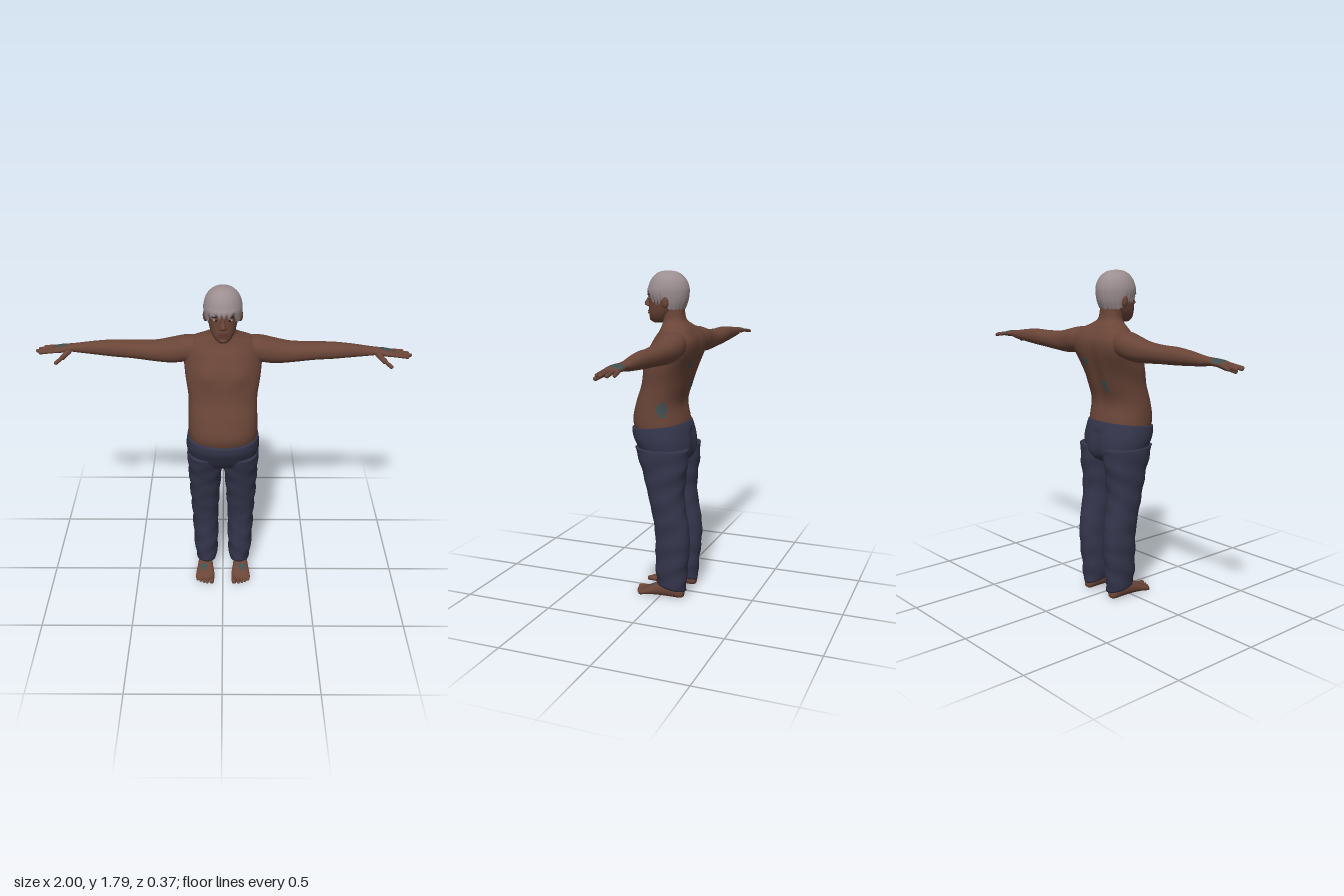
import * as THREE from 'three';

const mat = (name, color, side = THREE.FrontSide) =>
  Object.assign(new THREE.MeshStandardMaterial({ color, side }), { name });

// Which coordinates the ring extents (u, v) and the ring position t map to.
const AXES = {
  y: (u, v, t) => [v, t, u],
  x: (u, v, t) => [t, u, v],
  z: (u, v, t) => [u, v, t],
};

// Smooth skin over rings [t, u0, u1, v0, v1] with t increasing.
// warp moves each point; paint picks faces for a second material.
function loft(axis, rings, { n = 32, steps = 4, p = 2.2, warp, paint, open = false } = {}) {
  const rows = [];
  const at = (i) => rings[Math.min(Math.max(i, 0), rings.length - 1)];
  for (let i = 0; i < rings.length - 1; i++) {
    for (let s = 0; s < steps; s++) {
      const t = s / steps;
      rows.push(rings[0].map((_, k) => {
        const [a, b, c, d] = [at(i - 1)[k], at(i)[k], at(i + 1)[k], at(i + 2)[k]];
        return b + 0.5 * t * (c - a + t * (2 * a - 5 * b + 4 * c - d + t * (3 * (b - c) + d - a)));
      }));
    }
  }
  rows.push(rings[rings.length - 1]);
  const pos = [], plain = [], painted = [];
  const add = (u, v, t) => {
    const q = new THREE.Vector3(...AXES[axis](u, v, t));
    if (warp) warp(q);
    pos.push(q.x, q.y, q.z);
  };
  const bend = (c) => Math.sign(c) * Math.abs(c) ** (2 / p);
  for (const [t, u0, u1, v0, v1] of rows) {
    for (let j = 0; j < n; j++) {
      const a = (j / n) * Math.PI * 2;
      add((u0 + u1) / 2 + bend(Math.cos(a)) * (u1 - u0) / 2,
        (v0 + v1) / 2 + bend(Math.sin(a)) * (v1 - v0) / 2, t);
    }
  }
  for (let i = 0; i < rows.length - 1; i++) {
    for (let j = 0; j < n; j++) {
      const a = i * n + j, b = i * n + (j + 1) % n, c = a + n, d = b + n;
      const mid = [0, 1, 2].map((k) => (pos[a * 3 + k] + pos[d * 3 + k]) / 2);
      (paint && paint(...mid) ? painted : plain).push(a, b, d, a, d, c);
    }
  }
  if (!open) {
    const last = (rows.length - 1) * n, centre = rows.length * n;
    for (const [t, u0, u1, v0, v1] of [rows[0], rows[rows.length - 1]]) add((u0 + u1) / 2, (v0 + v1) / 2, t);
    for (let j = 0; j < n; j++) {
      const k = (j + 1) % n;
      plain.push(centre, k, j, centre + 1, last + j, last + k);
    }
  }
  const g = new THREE.BufferGeometry();
  g.setAttribute('position', new THREE.Float32BufferAttribute(pos, 3));
  g.setIndex([...plain, ...painted]);
  if (paint) {
    g.addGroup(0, plain.length, 0);
    g.addGroup(plain.length, painted.length, 1);
  }
  g.computeVertexNormals();
  return g;
}

// Mirror to -x, turning the faces and optionally shifting points.
function mirrored(geo, shift) {
  const g = geo.clone(), P = g.attributes.position, I = g.index;
  for (let i = 0; i < P.count; i++) {
    const x = P.getX(i);
    if (shift) P.setZ(i, P.getZ(i) + shift(x));
    P.setX(i, -x);
  }
  for (let i = 0; i < I.count; i += 3) {
    const a = I.getX(i);
    I.setX(i, I.getX(i + 1));
    I.setX(i + 1, a);
  }
  g.computeVertexNormals();
  return g;
}

const ball = (x, y, z, sx, sy, sz) => new THREE.SphereGeometry(1, 20, 14).scale(sx, sy, sz).translate(x, y, z);

// Rounded rod between two points, for fingers and toes.
function rod(a, b, r) {
  const A = new THREE.Vector3(...a), B = new THREE.Vector3(...b), d = B.clone().sub(A);
  const q = new THREE.Quaternion().setFromUnitVectors(new THREE.Vector3(0, 1, 0), d.clone().normalize());
  return new THREE.CapsuleGeometry(r, d.length(), 5, 10).applyQuaternion(q).translate(...A.add(B).multiplyScalar(0.5).toArray());
}

const near = (x, y, z, a, b, c, r) => Math.hypot(x - a, y - b, z - c) < r;

export function createModel() {
  const skin = mat('skin', 0x6a4538), cloth = mat('trouser cloth', 0x34354b);
  const grey = mat('grey hair', 0x9c8e91, THREE.DoubleSide), ink = mat('teal marking', 0x41504f);
  const lip = mat('lips', 0x5a332d), white = mat('eye white', 0x9a8f88), dark = mat('dark eye', 0x2a1c18);
  const root = new THREE.Group();
  const part = (name, geo, m) => {
    const mesh = new THREE.Mesh(geo, m);
    mesh.name = name;
    root.add(mesh);
  };
  const pair = (name, geo, m, shift) => {
    part('left ' + name, geo, m);
    part('right ' + name, mirrored(geo, shift), m);
  };
  const even = (rows) => rows.map(([y, zb, zf, w]) => [y, zb, zf, -w, w]);

  // Torso and neck, with chest, spine groove and shoulders drawn back
  part('torso', loft('y', even([
    [0.92, -0.12, 0.155, 0.18], [1.0, -0.115, 0.183, 0.186], [1.1, -0.097, 0.162, 0.184], [1.2, -0.125, 0.13, 0.184],
    [1.3, -0.155, 0.115, 0.2], [1.38, -0.175, 0.092, 0.208], [1.44, -0.175, 0.065, 0.2], [1.485, -0.15, 0.035, 0.165],
    [1.515, -0.125, 0.025, 0.105], [1.54, -0.1, 0.022, 0.07], [1.58, -0.09, 0.025, 0.062], [1.64, -0.085, 0.03, 0.06],
  ]), {
    n: 56, steps: 5,
    warp: (q) => {
      const high = THREE.MathUtils.smoothstep(q.y, 1.22, 1.42);
      if (q.z > 0) q.z += 0.016 * Math.exp(-(((Math.abs(q.x) - 0.085) / 0.06) ** 2) - ((q.y - 1.345) / 0.05) ** 2);
      else q.z += 0.012 * Math.exp(-((q.x / 0.03) ** 2) - ((q.y - 1.25) / 0.16) ** 2);
      q.z -= high * q.x * q.x * 1.1;
    },
    paint: (x, y, z) => near(x, y, z, 0.17, 1.08, -0.03, 0.035) || near(x, y, z, 0.07, 1.32, -0.15, 0.025)
      || near(x, y, z, -0.05, 1.19, -0.12, 0.025),
  }), [skin, ink]);

  // Arms run into the palm; the right one sweeps slightly further back
  const sweep = (x) => -0.06 * Math.max(x - 0.2, 0);
  pair('arm', loft('x', [
    [0.1, 1.37, 1.49, -0.15, -0.01], [0.19, 1.355, 1.492, -0.168, -0.012], [0.27, 1.343, 1.475, -0.163, -0.02],
    [0.36, 1.347, 1.456, -0.157, -0.03], [0.48, 1.357, 1.45, -0.157, -0.043], [0.58, 1.362, 1.45, -0.147, -0.05],
    [0.68, 1.37, 1.441, -0.138, -0.06], [0.77, 1.378, 1.428, -0.13, -0.068], [0.81, 1.385, 1.424, -0.125, -0.062],
    [0.85, 1.385, 1.421, -0.127, -0.046], [0.89, 1.384, 1.414, -0.124, -0.042], [0.91, 1.388, 1.406, -0.115, -0.05],
  ], { paint: (x, y, z) => y > 1.405 && near(x, y, z, 0.865, 1.42, -0.1, 0.035) }), [skin, ink], sweep);
  [[-0.115, -0.128, 0.955], [-0.094, -0.102, 0.98], [-0.073, -0.075, 0.991], [-0.053, -0.05, 0.972]].forEach(([z0, z1, x1], i) =>
    pair('finger ' + (i + 1), rod([0.88, 1.4, z0], [x1, 1.389, z1], 0.0095), skin, sweep));
  pair('thumb base', rod([0.82, 1.395, -0.065], [0.85, 1.375, -0.03], 0.015), skin, sweep);
  pair('thumb', rod([0.85, 1.375, -0.03], [0.882, 1.357, 0.002], 0.0105), skin, sweep);

  // Head
  part('head', loft('y', even([
    [1.524, 0.02, 0.082, 0.022], [1.54, -0.01, 0.098, 0.042], [1.57, -0.04, 0.104, 0.06], [1.6, -0.075, 0.105, 0.07],
    [1.64, -0.095, 0.104, 0.078], [1.68, -0.1, 0.104, 0.081], [1.73, -0.095, 0.095, 0.078], [1.775, -0.05, 0.05, 0.045],
  ]), { n: 40 }), skin);
  part('nose', loft('y', even([
    [1.606, 0.085, 0.108, 0.012], [1.615, 0.085, 0.128, 0.02], [1.628, 0.085, 0.134, 0.015],
    [1.65, 0.085, 0.12, 0.01], [1.685, 0.085, 0.106, 0.008],
  ]), { n: 16 }), skin);
  part('upper lip', ball(0, 1.585, 0.103, 0.027, 0.006, 0.01), lip);
  part('lower lip', ball(0, 1.574, 0.102, 0.024, 0.007, 0.01), lip);
  part('chin', ball(0, 1.546, 0.086, 0.025, 0.016, 0.018), skin);
  pair('ear', ball(0.089, 1.638, -0.018, 0.014, 0.032, 0.02).rotateX(0), skin);
  pair('eye', ball(0.034, 1.655, 0.09, 0.016, 0.007, 0.009), white);
  pair('iris', ball(0.034, 1.655, 0.097, 0.006, 0.006, 0.004), dark);
  pair('eyebrow', ball(0.035, 1.673, 0.092, 0.022, 0.005, 0.01), dark);

  // Hair cap: long at the nape, short ragged fringe in front
  const lock = (a) => 0.5 + 0.5 * Math.sin(a * 19 + 2 * Math.sin(a * 5));
  part('hair', loft('y', even([
    [1.595, -0.092, 0.095, 0.085], [1.63, -0.107, 0.108, 0.094], [1.67, -0.115, 0.113, 0.099], [1.71, -0.115, 0.108, 0.098],
    [1.75, -0.1, 0.092, 0.085], [1.778, -0.073, 0.068, 0.062], [1.792, -0.045, 0.042, 0.036], [1.798, -0.003, 0.003, 0.003],
  ]), {
    n: 96, open: true, p: 2,
    warp: (q) => {
      if (q.y > 1.71) return;
      const a = Math.atan2(q.x, q.z), off = Math.abs(a);
      const front = 0.3 + 0.28 * lock(a) + 0.22 * THREE.MathUtils.smoothstep(off, 0.5, 1.1);
      const side = THREE.MathUtils.smoothstep(off, 1.5, 2.1);
      q.y = 1.71 - (1.71 - q.y) * THREE.MathUtils.lerp(front, 1 - 0.06 * lock(a), side);
    },
  }), grey);

  // Trousers: hips with a waistband that rises behind, then the legs
  part('trouser hips', loft('y', even([
    [0.755, -0.07, 0.03, 0.03], [0.785, -0.125, 0.1, 0.11], [0.83, -0.15, 0.14, 0.18], [0.89, -0.15, 0.17, 0.198],
    [0.94, -0.137, 0.185, 0.197], [0.982, -0.122, 0.188, 0.191],
  ]), {
    n: 48,
    warp: (q) => {
      q.y -= 0.13 * q.z * THREE.MathUtils.smoothstep(q.y, 0.85, 0.98);
      if (q.z < -0.05 && q.y < 0.95) q.z += 0.015 * Math.exp(-((q.x / 0.02) ** 2));
    },
  }), cloth);
  pair('trouser leg', loft('y', [
    [0.07, -0.142, 0.025, 0.042, 0.153], [0.13, -0.147, 0.028, 0.034, 0.163], [0.2, -0.153, 0.03, 0.03, 0.168],
    [0.3, -0.163, 0.03, 0.028, 0.173], [0.4, -0.16, 0.033, 0.028, 0.177], [0.5, -0.142, 0.05, 0.022, 0.182],
    [0.6, -0.13, 0.072, 0.017, 0.187], [0.7, -0.138, 0.097, 0.008, 0.191], [0.78, -0.148, 0.122, 0.002, 0.195],
    [0.86, -0.148, 0.148, 0.005, 0.196],
  ], {
    warp: (q) => {
      q.y += 0.2 * (q.z + 0.04) * (1 - THREE.MathUtils.smoothstep(q.y, 0.07, 0.2));
      q.x += 0.003 * Math.sin(q.y * 48 + q.z * 20);
      q.z += 0.002 * Math.sin(q.y * 60 + q.x * 30);
    },
  }), cloth);

  // Bare feet
  pair('ankle', loft('y', [[0.03, -0.12, -0.02, 0.07, 0.135], [0.1, -0.115, -0.03, 0.07, 0.13], [0.18, -0.11, -0.03, 0.07, 0.13]]), skin);
  pair('foot', loft('z', [
    [-0.132, 0.085, 0.12, 0.018, 0.045], [-0.115, 0.072, 0.135, 0.01, 0.07], [-0.05, 0.066, 0.142, 0.01, 0.1],
    [0.01, 0.06, 0.148, 0.01, 0.088], [0.06, 0.052, 0.156, 0.01, 0.062], [0.1, 0.05, 0.16, 0.01, 0.04], [0.118, 0.056, 0.152, 0.012, 0.03],
  ], { paint: (x, y, z) => y > 0.045 && near(x, y, z, 0.115, 0.065, 0.05, 0.022) }), [skin, ink]);
  [[0.064, 0.139, 0.014], [0.089, 0.139, 0.01], [0.109, 0.133, 0.0095], [0.128, 0.124, 0.009], [0.146, 0.112, 0.009]].forEach(([x, z, r], i) =>
    pair('toe ' + (i + 1), rod([x, 0.025, z - 0.04], [x + 0.002, 0.01 + r, z], r), skin));

  return root;
}
